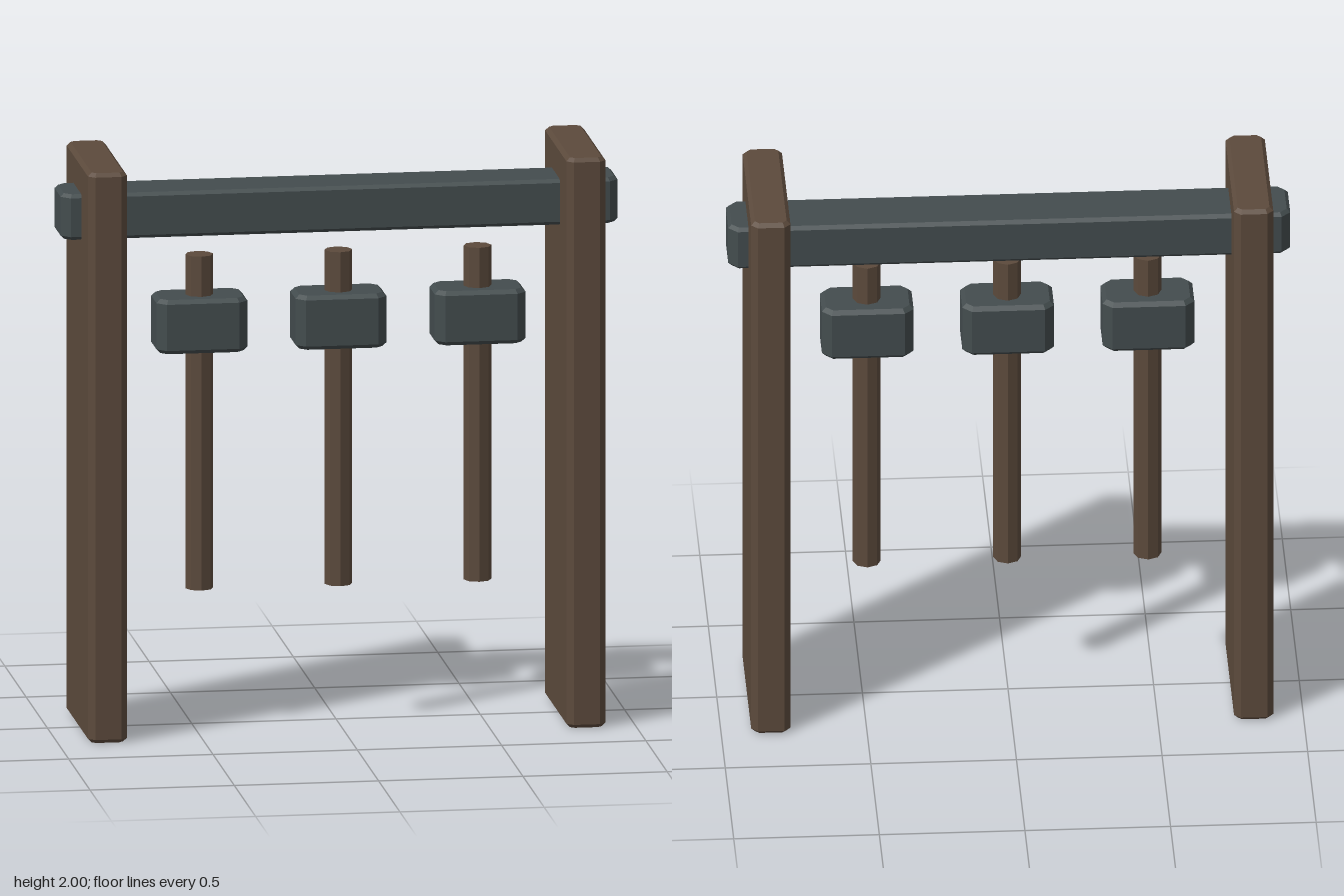
import * as THREE from 'three';

const wood = new THREE.MeshStandardMaterial({ color: 0x5c4a3c, flatShading: true });
const stone = new THREE.MeshStandardMaterial({ color: 0x434c4e, flatShading: true });

// Block with cut upright corners and a thin bevel round its top and bottom.
// Its base sits on y = 0.
function chamferedBlock(width, height, depth, cut, bevel) {
  const w = width / 2 - bevel;
  const d = depth / 2 - bevel;
  const c = cut - bevel * (2 - Math.SQRT2);
  const plan = new THREE.Shape([
    [w, -d + c], [w, d - c], [w - c, d], [-w + c, d],
    [-w, d - c], [-w, -d + c], [-w + c, -d], [w - c, -d],
  ].map(([x, y]) => new THREE.Vector2(x, y)));
  const geometry = new THREE.ExtrudeGeometry(plan, {
    depth: height - 2 * bevel,
    bevelEnabled: true,
    bevelSize: bevel,
    bevelThickness: bevel,
    bevelSegments: 1,
  });
  geometry.translate(0, 0, bevel);
  geometry.rotateX(-Math.PI / 2);
  return geometry;
}

function part(name, geometry, material, x, y, z) {
  const mesh = new THREE.Mesh(geometry, material);
  mesh.name = name;
  mesh.position.set(x, y, z);
  return mesh;
}

export function createModel() {
  const model = new THREE.Group();
  model.name = 'hammerRack';

  // Side panels
  const panel = chamferedBlock(0.135, 2, 0.547, 0.022, 0.013);
  model.add(part('leftPanel', panel, wood, 0.829, 0, 0));
  model.add(part('rightPanel', panel, wood, -0.829, 0, 0));

  // Crossbeam, poking out through both panels
  const beam = chamferedBlock(1.93, 0.16, 0.206, 0.031, 0.012);
  model.add(part('crossbeam', beam, stone, 0, 1.731, 0));

  // Hammers hanging in a row
  const head = chamferedBlock(0.315, 0.19, 0.19, 0.032, 0.014);
  const handle = new THREE.CylinderGeometry(0.048, 0.048, 1.172, 8);
  for (const x of [-0.482, 0, 0.482]) {
    const hammer = new THREE.Group();
    hammer.name = 'hammer';
    hammer.position.set(x, 0, 0.055);
    hammer.add(part('hammerHead', head, stone, 0, 1.329, 0));
    hammer.add(part('hammerHandle', handle, wood, 0, 1.074, 0));
    model.add(hammer);
  }

  return model;
}
